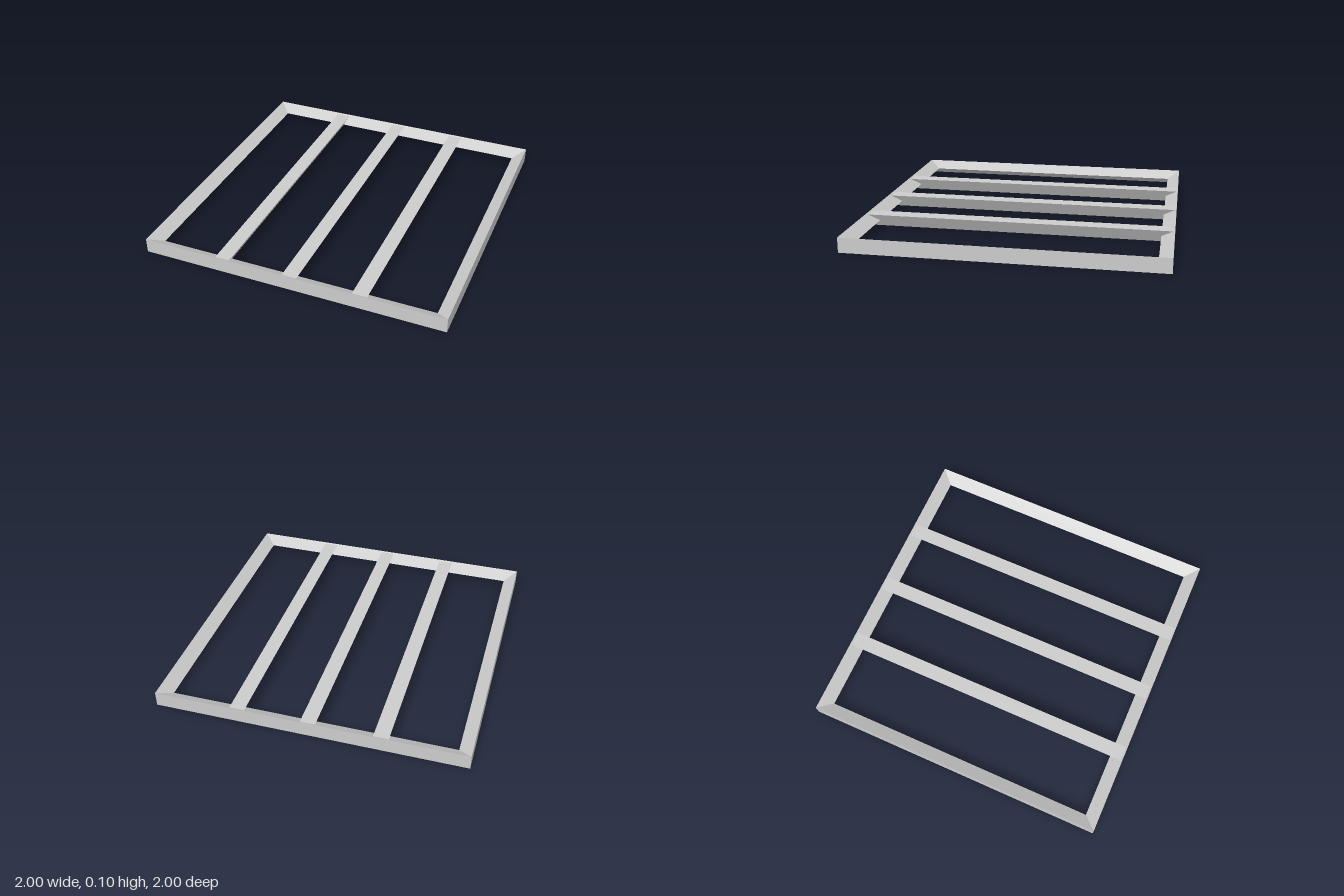
import * as THREE from 'three';

const SIDE = 0.097;                       // edge of the equilateral bar section
const DEPTH = SIDE * Math.sqrt(3) / 2;    // height of that triangle
const SLAT_TOP = 0.091;
const SLAT_HALF_LENGTH = 0.988;

export function createModel() {
  const group = new THREE.Group();
  const material = new THREE.MeshStandardMaterial({ color: 0xcccccc, flatShading: true });

  // Mitred square frame: triangular section, flat side out, ridge pointing inwards
  const profile = [[1, 0], [1, SIDE], [1 - DEPTH, SIDE / 2], [1, 0]]
    .map(([r, y]) => new THREE.Vector2(r * Math.SQRT2, y));
  const frameGeometry = new THREE.LatheGeometry(profile, 4).rotateY(Math.PI / 4).toNonIndexed();
  frameGeometry.computeVertexNormals();
  const frame = new THREE.Mesh(frameGeometry, material);
  frame.name = 'frame';
  group.add(frame);

  // Slats: triangular bars with a flat top and the ridge pointing down
  const section = new THREE.Shape([
    new THREE.Vector2(-SIDE / 2, SLAT_TOP),
    new THREE.Vector2(0, SLAT_TOP - DEPTH),
    new THREE.Vector2(SIDE / 2, SLAT_TOP),
  ]);
  const slatGeometry = new THREE.ExtrudeGeometry(section, {
    depth: 2 * SLAT_HALF_LENGTH, bevelEnabled: false,
  }).translate(0, 0, -SLAT_HALF_LENGTH);
  [['rightSlat', -0.457], ['middleSlat', 0], ['leftSlat', 0.457]].forEach(([name, x]) => {
    const slat = new THREE.Mesh(slatGeometry, material);
    slat.name = name;
    slat.position.x = x;
    group.add(slat);
  });

  return group;
}
